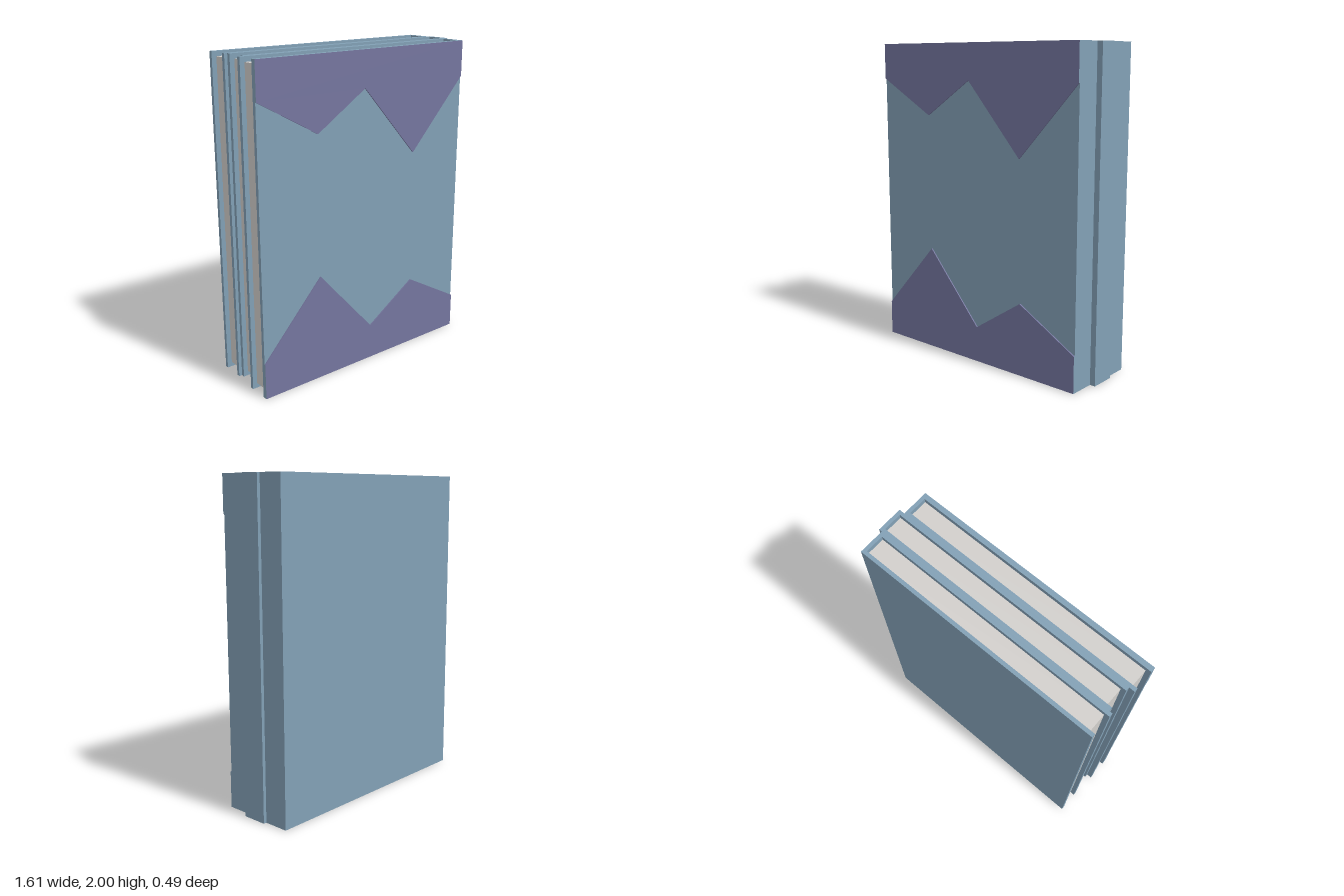
import * as THREE from 'three';

const H = 2, W = 1.57, T = 0.161, COVER = 0.023, INSET = 0.03, PLATE = 0.008;

export function createModel() {
  const blue = new THREE.MeshStandardMaterial({ color: 0x82a0b5 });
  blue.name = 'coverBlue';
  const purple = new THREE.MeshStandardMaterial({ color: 0x75769f });
  purple.name = 'zigzagPurple';
  const paper = new THREE.MeshStandardMaterial({ color: 0xd2cfcc });
  paper.name = 'paper';

  const model = new THREE.Group();
  model.name = 'bookStack';

  // U-shaped binding: two covers joined by a spine on the +x side
  function makeBinding() {
    const w = W / 2, t = T / 2, inX = w - COVER, inT = t - COVER;
    const points = [[-w, -t], [w, -t], [w, t], [-w, t], [-w, inT], [inX, inT], [inX, -inT], [-w, -inT]];
    const shape = new THREE.Shape(points.map(([x, y]) => new THREE.Vector2(x, y)));
    const geo = new THREE.ExtrudeGeometry(shape, { depth: H, bevelEnabled: false });
    geo.rotateX(-Math.PI / 2);
    const mesh = new THREE.Mesh(geo, blue);
    mesh.name = 'binding';
    return mesh;
  }

  // Page block, set back from the open edges of the binding
  function makePages() {
    const geo = new THREE.BoxGeometry(W - COVER - INSET, H - 2 * INSET, T - 2 * COVER);
    geo.translate((INSET - COVER) / 2, H / 2, 0);
    const mesh = new THREE.Mesh(geo, paper);
    mesh.name = 'pages';
    return mesh;
  }

  // Thin zigzag plate: purple face and slanted edges, cover-blue straight edges
  function makePlate(name, points) {
    const shape = new THREE.Shape(points.map(([x, y]) => new THREE.Vector2(x, y)));
    const geo = new THREE.ExtrudeGeometry(shape, { depth: PLATE, bevelEnabled: false });
    const n = geo.attributes.normal;
    geo.clearGroups();
    for (let i = 0; i < n.count; i += 3) {
      const straight = Math.abs(n.getX(i)) > 0.99 || Math.abs(n.getY(i)) > 0.99;
      geo.addGroup(i, 3, straight ? 1 : 0);
    }
    const mesh = new THREE.Mesh(geo, [purple, blue]);
    mesh.name = name;
    return mesh;
  }

  // Three books standing side by side, slightly offset
  const books = [
    ['backBook', -0.005, -0.1655],
    ['middleBook', 0.015, -0.0045],
    ['frontBook', -0.02, 0.1565],
  ];
  for (const [name, x, z] of books) {
    const book = new THREE.Group();
    book.name = name;
    book.add(makeBinding(), makePages());
    book.position.set(x, 0, z);
    model.add(book);
  }

  // Zigzag bands on the front cover
  const L = -0.805, R = 0.765;
  const bands = [
    makePlate('upperZigzag', [[L, 1.775], [-0.4, 1.55], [-0.05, 1.775], [0.35, 1.33], [R, 1.775], [R, H], [L, H]]),
    makePlate('lowerZigzag', [[L, 0], [R, 0], [R, 0.227], [0.36, 0.455], [0.01, 0.227], [-0.39, 0.675], [L, 0.227]]),
  ];
  for (const band of bands) {
    band.position.z = 0.237;
    model.add(band);
  }
  return model;
}
